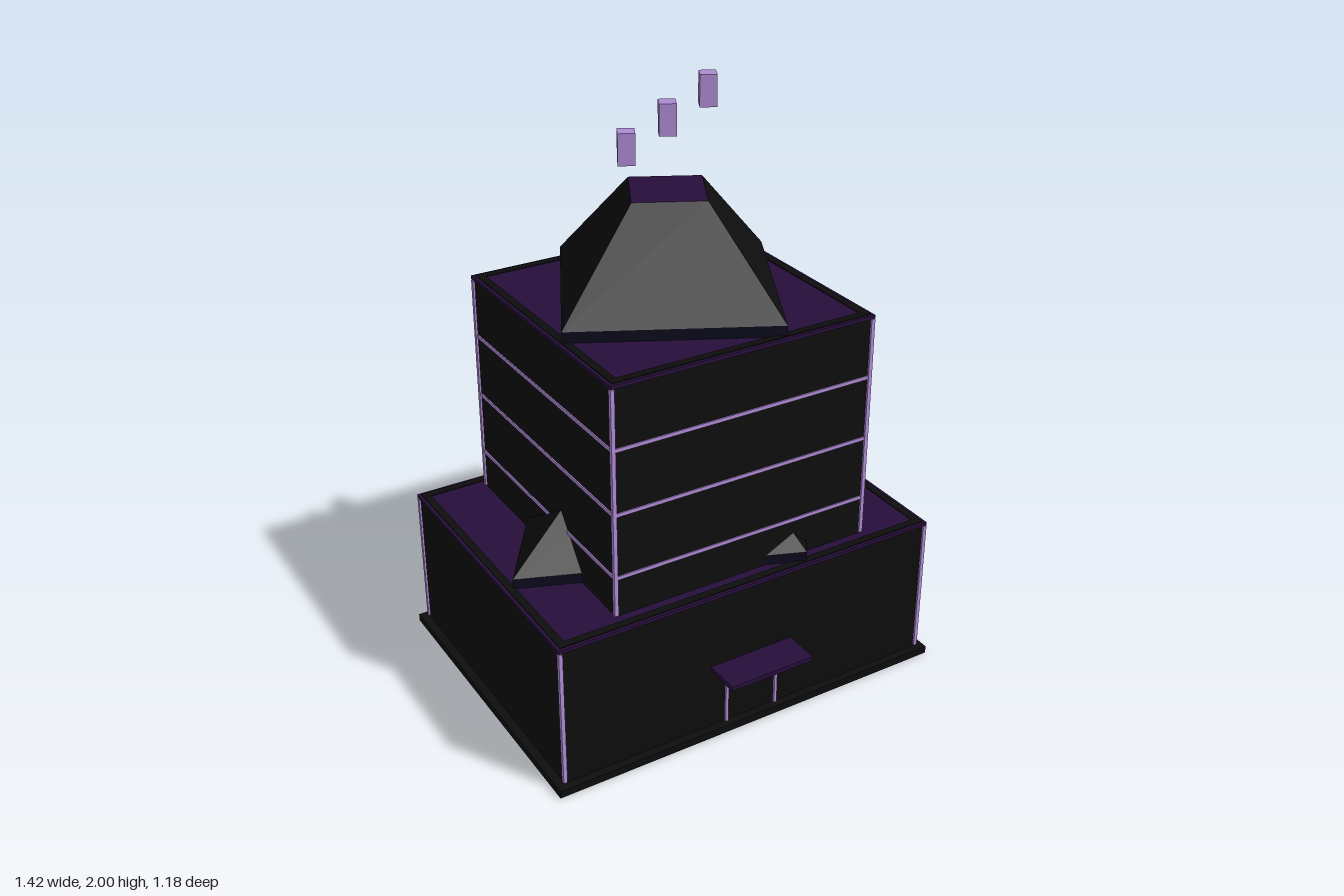
import * as THREE from 'three';

export function createModel() {
  const paint = (name, color) => {
    const m = new THREE.MeshStandardMaterial({ color });
    m.name = name;
    return m;
  };
  const black = paint('black', 0x0d0d0d);
  const purple = paint('darkPurple', 0x260e3a);
  const navy = paint('darkNavy', 0x0c0a1c);
  const lilac = paint('lilac', 0xae8ad4);

  const model = new THREE.Group();
  model.name = 'steppedTower';
  const building = new THREE.Group();
  building.name = 'building';
  building.position.z = -0.047;
  model.add(building);

  const add = (name, geometry, material, x = 0, y = 0, z = 0) => {
    const mesh = new THREE.Mesh(geometry, material);
    mesh.name = name;
    mesh.position.set(x, y, z);
    building.add(mesh);
    return mesh;
  };
  // Box given by its bottom and top heights
  const box = (name, material, w, d, y0, y1, x = 0, z = 0) =>
    add(name, new THREE.BoxGeometry(w, y1 - y0, d), material, x, (y0 + y1) / 2, z);

  // Four bars forming a rectangular ring
  const ring = (name, material, w, d, t, y0, y1) => {
    for (const s of [-1, 1]) {
      box(name, material, w, t, y0, y1, 0, s * (d - t) / 2);
      box(name, material, t, d - 2 * t, y0, y1, s * (w - t) / 2, 0);
    }
  };

  // A block with lit corner posts, a roof deck and a dark border on the roof
  const tier = (name, w, d, y0, y1) => {
    box(name + 'Walls', black, w, d, y0, y1 - 0.015);
    box(name + 'RoofDeck', purple, w + 0.012, d + 0.012, y1 - 0.015, y1 - 0.003);
    ring(name + 'RoofBorder', black, w - 0.008, d - 0.008, 0.026, y1 - 0.003, y1);
    for (const sx of [-1, 1]) for (const sz of [-1, 1])
      box(name + 'CornerPost', lilac, 0.013, 0.013, y0 + 0.005, y1 - 0.018, sx * w / 2, sz * d / 2);
  };

  // Twisted four-sided roof: a low upright band below a sloping frustum
  const twist = 0.31;
  const hipRoof = (name, sx, sz, y0, y1, y2) => {
    const band = new THREE.CylinderGeometry(0.473, 0.473, y1 - y0, 4, 1, false, twist).toNonIndexed();
    band.clearGroups();
    band.addGroup(0, 6, 0);
    band.addGroup(6, Infinity, 1);
    const slope = new THREE.CylinderGeometry(0.163, 0.473, y2 - y1, 4, 1, false, twist).toNonIndexed();
    for (const g of [band, slope]) {
      g.scale(sx, 1, sz);
      g.computeVertexNormals();
    }
    add(name + 'Band', band, [purple, navy], 0, (y0 + y1) / 2);
    add(name + 'Slope', slope, [black, purple, black], 0, (y1 + y2) / 2);
  };

  // Main masses
  box('baseSlab', black, 1.42, 1.085, 0, 0.026);
  tier('podium', 1.36, 1.03, 0.026, 0.529);
  hipRoof('podiumRoof', 1.46, 1.12, 0.526, 0.56, 0.91);
  tier('tower', 0.914, 0.91, 0.526, 1.312);
  hipRoof('towerRoof', 1, 1, 1.309, 1.345, 1.66);

  // Glowing floor lines around the tower
  for (const y of [0.663, 0.881, 1.097])
    ring('floorLine', lilac, 0.922, 0.918, 0.01, y - 0.006, y + 0.006);

  // Entrance: outlined doorway under a canopy
  const front = 0.517;
  for (const s of [-1, 1]) box('doorJamb', lilac, 0.01, 0.012, 0.026, 0.222, s * 0.094, front);
  box('doorLintel', lilac, 0.198, 0.012, 0.213, 0.223, 0, front);
  box('canopy', purple, 0.305, 0.122, 0.243, 0.259, 0, 0.576);

  // Floating blocks rising above the roof
  for (const i of [-1, 0, 1]) {
    const y = 1.883 + i * 0.067;
    box('floatingBlock', lilac, 0.053, 0.053, y - 0.05, y + 0.05, i * 0.142, 0).rotation.y = -0.47;
  }
  return model;
}
